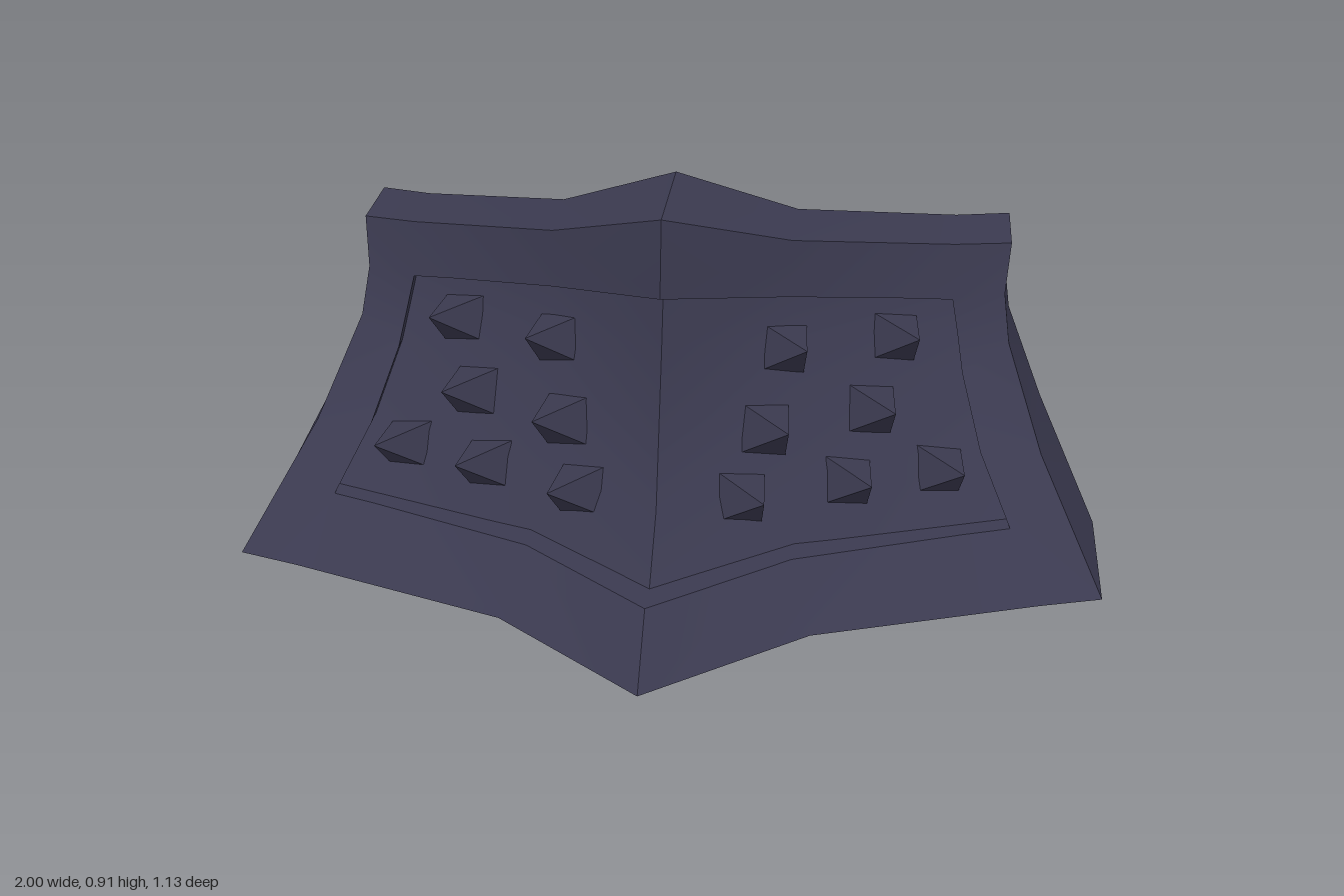
import * as THREE from 'three';
import { toCreasedNormals } from 'three/addons/utils/BufferGeometryUtils.js';

const slate = new THREE.MeshStandardMaterial({ color: 0x3b3a50 });
slate.name = 'dark slate';
const slateSheet = new THREE.MeshStandardMaterial({ color: 0x3b3a50, side: THREE.DoubleSide });
slateSheet.name = 'dark slate sheet';

// Skins a list of cross-sections (left half) and adds the mirrored right half.
function mirroredSkin(sections, closed) {
  const pos = [];
  const n = sections[0].length;
  for (const side of [1, -1]) {
    for (let i = 0; i + 1 < sections.length; i++) {
      for (let j = 0; j < (closed ? n : n - 1); j++) {
        const k = (j + 1) % n;
        const a = sections[i][j], b = sections[i + 1][j];
        const c = sections[i + 1][k], d = sections[i][k];
        const corners = side > 0 ? [a, b, c, a, c, d] : [a, c, b, a, d, c];
        for (const p of corners) pos.push(p[0] * side, p[1], p[2]);
      }
    }
  }
  const geometry = new THREE.BufferGeometry();
  geometry.setAttribute('position', new THREE.Float32BufferAttribute(pos, 3));
  return toCreasedNormals(geometry, 0.5);
}

// Frame sections from bottom centre, around the side, to top centre:
// outer front, inner front, inner back, outer back.
const frameSections = [
  [[0, 0, 0.565], [0, 0.135, 0.425], [0, 0.14, -0.07], [0, 0, 0]],
  [[0.35, 0, 0.27], [0.3, 0.135, 0.17], [0.3, 0.14, -0.13], [0.34, 0, -0.09]],
  [[0.86, 0, 0.08], [0.68, 0.135, 0.01], [0.68, 0.135, -0.26], [0.84, 0, -0.28]],
  [[1, 0, 0.035], [0.785, 0.135, -0.03], [0.785, 0.135, -0.3], [0.99, 0, -0.34]],
  [[0.85, 0.26, -0.165], [0.71, 0.28, -0.12], [0.71, 0.28, -0.36], [0.85, 0.27, -0.47]],
  [[0.765, 0.47, -0.315], [0.66, 0.43, -0.225], [0.66, 0.43, -0.4], [0.765, 0.47, -0.535]],
  [[0.75, 0.58, -0.35], [0.645, 0.51, -0.265], [0.645, 0.51, -0.41], [0.75, 0.58, -0.555]],
  [[0.76, 0.695, -0.38], [0.63, 0.585, -0.29], [0.63, 0.585, -0.42], [0.755, 0.695, -0.57]],
  [[0.63, 0.71, -0.32], [0.53, 0.607, -0.235], [0.53, 0.607, -0.37], [0.63, 0.71, -0.505]],
  [[0.27, 0.79, -0.105], [0.27, 0.66, -0.09], [0.27, 0.66, -0.25], [0.27, 0.795, -0.285]],
  [[0, 0.91, 0.105], [0, 0.735, 0.13], [0, 0.735, -0.18], [0, 0.91, -0.19]],
];

// Recessed panel columns from the centre ridge to the side edge, bottom to top.
const panelColumns = [
  [[0, 0.135, 0.34], [0, 0.26, 0.21], [0, 0.43, 0.155], [0, 0.6, 0.1], [0, 0.735, 0.065]],
  [[0.3, 0.135, 0.1], [0.3, 0.265, 0.03], [0.28, 0.435, -0.05], [0.275, 0.55, -0.12], [0.27, 0.66, -0.15]],
  [[0.785, 0.135, -0.08], [0.71, 0.28, -0.17], [0.66, 0.43, -0.27], [0.645, 0.51, -0.31], [0.63, 0.585, -0.335]],
];

// Spike roots on the left wing of the panel.
const spikeRoots = [
  [0.18, 0.25, 0.11], [0.41, 0.24, -0.02], [0.615, 0.235, -0.11],
  [0.225, 0.38, 0.02], [0.455, 0.375, -0.12],
  [0.255, 0.53, -0.095], [0.5, 0.51, -0.23],
];

export function createModel() {
  const model = new THREE.Group();
  model.name = 'spikedBarricade';

  const add = (name, geometry, material) => {
    const mesh = new THREE.Mesh(geometry, material);
    mesh.name = name;
    model.add(mesh);
    return mesh;
  };

  add('frame', mirroredSkin(frameSections, true), slate);
  add('recessedPanel', mirroredSkin(panelColumns, false), slateSheet);

  // Four-sided spikes leaning out along the wings, bases just behind the panel
  const length = 0.165;
  const spike = new THREE.ConeGeometry(0.085, length, 4).toNonIndexed();
  spike.rotateY(Math.PI / 4).rotateX(Math.PI / 2).translate(0, 0, length / 2 - 0.02);
  spike.computeVertexNormals();
  for (const side of [1, -1]) {
    for (const [x, y, z] of spikeRoots) {
      const mesh = add(side > 0 ? 'leftSpike' : 'rightSpike', spike, slate);
      mesh.position.set(x * side, y, z);
      mesh.lookAt((x + 0.06) * side, y + 0.05, z + 0.12);
      mesh.rotateZ(-0.2 * side);
    }
  }
  return model;
}
